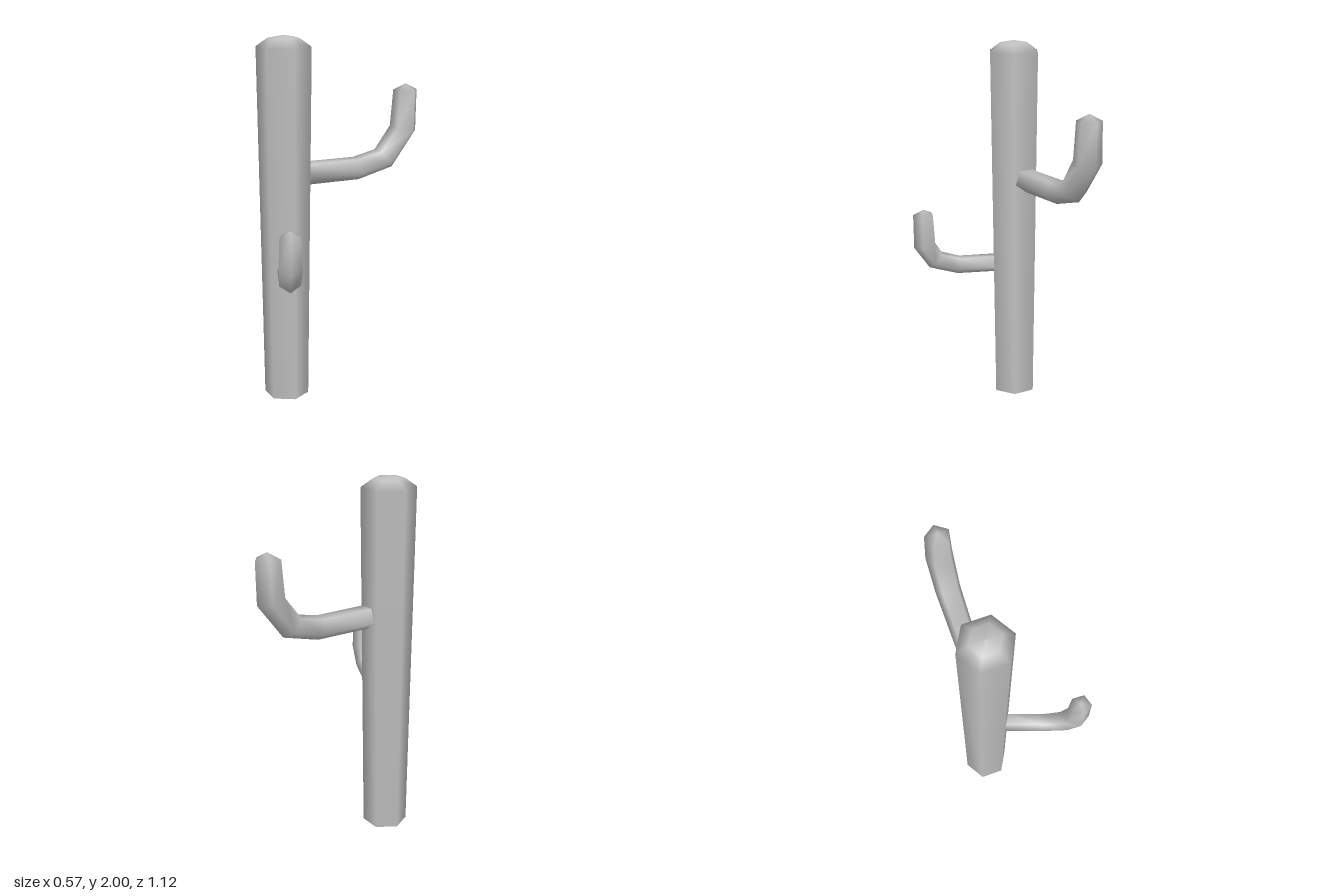
import * as THREE from 'three';

const SIDES = 5;

// Bent five-sided arm in the local xy plane, growing along +x and turning up.
// Each section: [distance, height, radius, tilt in degrees]
function armGeometry(sections, tipHeight) {
  const pos = [], index = [];
  const addRing = ([d, y, r, tilt]) => {
    const t = THREE.MathUtils.degToRad(tilt);
    for (let k = 0; k < SIDES; k++) {
      const a = (k / SIDES) * Math.PI * 2;
      const out = r * Math.cos(a);
      pos.push(d + out * Math.sin(t), y - out * Math.cos(t), r * Math.sin(a));
    }
  };
  sections.forEach(addRing);
  const last = (sections.length - 1) * SIDES;
  for (let i = 0; i < last; i += SIDES) {
    for (let k = 0; k < SIDES; k++) {
      const a = i + k, b = i + ((k + 1) % SIDES);
      index.push(a, a + SIDES, b, b, a + SIDES, b + SIDES);
    }
  }
  // pointed tip
  const apex = pos.length / 3;
  pos.push(sections[sections.length - 1][0], tipHeight, 0);
  for (let k = 0; k < SIDES; k++) index.push(last + k, apex, last + ((k + 1) % SIDES));
  // flat root cap with its own corners
  const cap = pos.length / 3;
  addRing(sections[0]);
  for (let k = 1; k < SIDES - 1; k++) index.push(cap, cap + k, cap + k + 1);

  const geometry = new THREE.BufferGeometry();
  geometry.setAttribute('position', new THREE.Float32BufferAttribute(pos, 3));
  geometry.setIndex(index);
  geometry.computeVertexNormals();
  return geometry;
}

export function createModel() {
  const model = new THREE.Group();
  model.name = 'cactus';
  const grey = new THREE.MeshStandardMaterial({ color: 0xbfbfbf });
  grey.name = 'plain grey';

  const add = (name, geometry, turn = 0) => {
    const mesh = new THREE.Mesh(geometry, grey);
    mesh.name = name;
    mesh.position.set(-0.158, 0, 0.12);
    mesh.rotation.y = turn;
    model.add(mesh);
  };

  // six-sided trunk, slightly wider at the top, with a low dome
  const profile = [[0.122, 0], [0.147, 1.94], [0.083, 1.985], [0, 2]];
  add('trunk', new THREE.LatheGeometry(profile.map(([x, y]) => new THREE.Vector2(x, y)), 6));
  add('trunkBase', new THREE.CircleGeometry(0.122, 6, Math.PI / 2).rotateX(Math.PI / 2));

  // arms
  add('upperArm', armGeometry([
    [0.13, 1.256, 0.067, 0],
    [0.43, 1.256, 0.067, 8],
    [0.597, 1.297, 0.072, 42],
    [0.715, 1.455, 0.077, 78],
    [0.725, 1.668, 0.069, 90],
  ], 1.705), Math.atan2(0.859, 0.512));

  add('lowerArm', armGeometry([
    [0.108, 0.762, 0.052, 0],
    [0.315, 0.762, 0.052, 8],
    [0.44, 0.797, 0.058, 42],
    [0.5, 0.885, 0.064, 78],
    [0.506, 1.06, 0.058, 90],
  ], 1.088), Math.atan2(-0.769, 0.639));

  return model;
}
